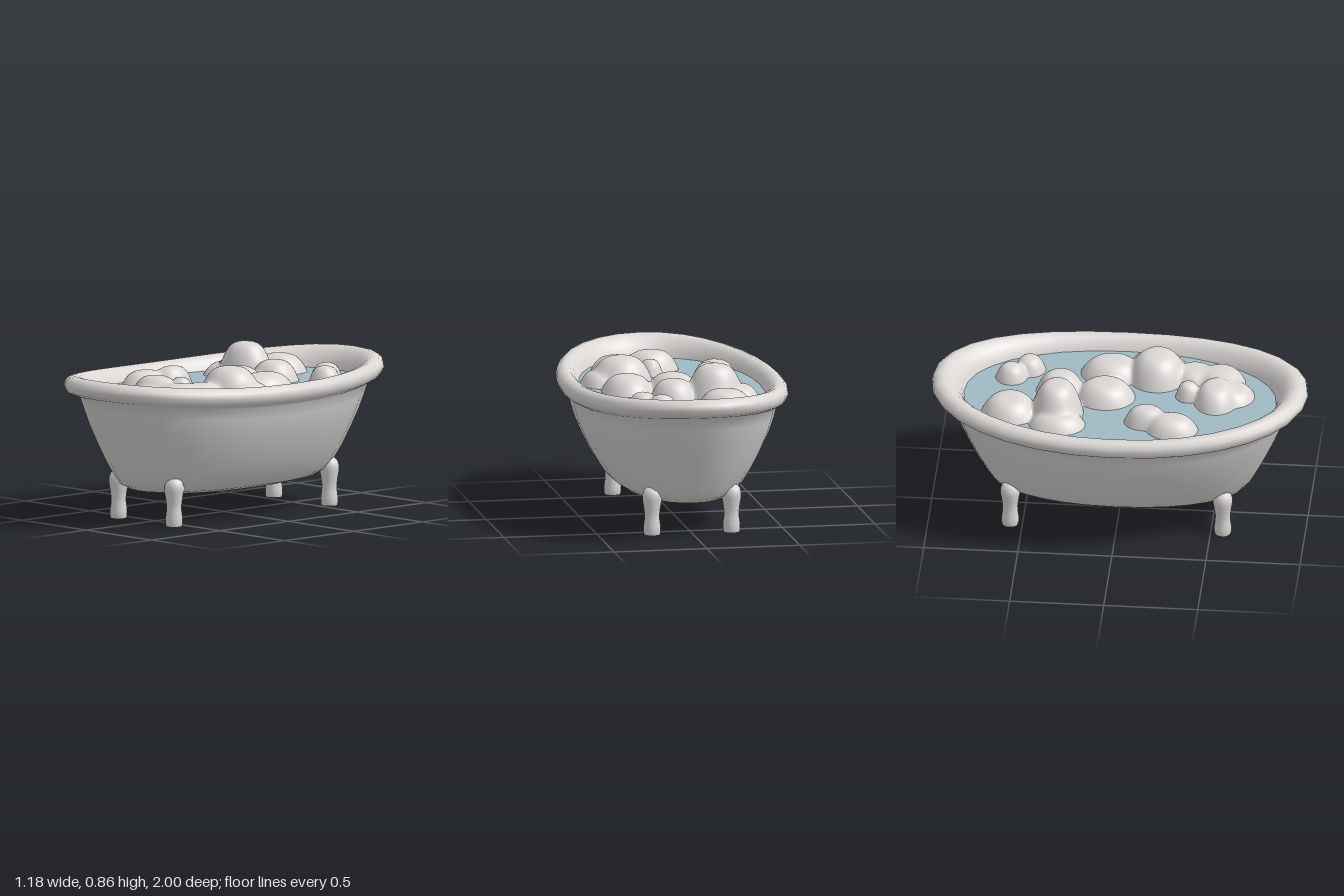
import * as THREE from 'three';

const WATER_Y = 0.675;
const SEGMENTS = 32;

// Rounded oval outline, slightly fuller than an ellipse
const full = (v) => Math.sign(v) * Math.pow(Math.abs(v), 0.93);
const oval = (i) => {
  const a = (i / SEGMENTS) * Math.PI * 2;
  return [full(Math.sin(a)), full(Math.cos(a))];
};

// Skin through oval rings [half width, half length, height]; the ends rise toward the rim
function loftOvals(rings) {
  const pos = [], index = [];
  rings.forEach(([rx, rz, y]) => {
    const rise = 0.05 * THREE.MathUtils.clamp((y - 0.2) / 0.43, 0, 1);
    for (let i = 0; i < SEGMENTS; i++) {
      const [s, c] = oval(i);
      pos.push(rx * s, y + rise * c * c, rz * c);
    }
  });
  for (let j = 0; j < rings.length - 1; j++) {
    for (let i = 0; i < SEGMENTS; i++) {
      const n = (i + 1) % SEGMENTS;
      const a = j * SEGMENTS + i, b = j * SEGMENTS + n;
      index.push(a, b, b + SEGMENTS, a, b + SEGMENTS, a + SEGMENTS);
    }
  }
  const geo = new THREE.BufferGeometry();
  geo.setAttribute('position', new THREE.Float32BufferAttribute(pos, 3));
  geo.setIndex(index);
  geo.computeVertexNormals();
  return geo;
}

// Soft mounds blended into one height surface: [x, z, half width, half length, height]
function foamSurface(mounds) {
  const nx = 80, nz = 120, w = 1.0, l = 1.5, blend = 0.012;
  const pos = [], index = [];
  for (let j = 0; j <= nz; j++) {
    for (let i = 0; i <= nx; i++) {
      const x = (i / nx - 0.5) * w, z = (j / nz - 0.5) * l;
      const hs = mounds.map(([mx, mz, rx, rz, h]) => {
        const d = Math.hypot((x - mx) / rx, (z - mz) / rz);
        return h * (1 - d ** 3.5);
      });
      const top = Math.max(...hs);
      const sum = hs.reduce((t, h) => t + Math.exp((h - top) / blend), 0);
      pos.push(x, WATER_Y + top + blend * Math.log(sum), z);
    }
  }
  // Keep only the cells that reach above the water
  for (let j = 0; j < nz; j++) {
    for (let i = 0; i < nx; i++) {
      const a = j * (nx + 1) + i, b = a + 1, c = a + nx + 1, d = c + 1;
      if ([a, b, c, d].some((v) => pos[v * 3 + 1] > WATER_Y)) {
        index.push(a, c, b, b, c, d);
      }
    }
  }
  // Skirt vertices stay just below the water
  for (let v = 1; v < pos.length; v += 3) pos[v] = Math.max(pos[v], WATER_Y - 0.05);
  const geo = new THREE.BufferGeometry();
  geo.setAttribute('position', new THREE.Float32BufferAttribute(pos, 3));
  geo.setIndex(index);
  geo.computeVertexNormals();
  return geo;
}

export function createModel() {
  const model = new THREE.Group();
  model.name = 'bathtub';
  const white = new THREE.MeshStandardMaterial({ color: 0xdad7d5 });
  white.name = 'white';
  const waterBlue = new THREE.MeshStandardMaterial({ color: 0x9fbac4 });
  waterBlue.name = 'water blue';

  const add = (name, geo, mat) => {
    const mesh = new THREE.Mesh(geo, mat);
    mesh.name = name;
    model.add(mesh);
    return mesh;
  };

  // Bowl: domed floor, flaring wall, rolled rim, inner wall
  add('tub', loftOvals([
    [0, 0, 0.136], [0.12, 0.3, 0.139], [0.22, 0.5, 0.152], [0.285, 0.62, 0.172],
    [0.325, 0.68, 0.2], [0.362, 0.71, 0.24], [0.41, 0.755, 0.315], [0.455, 0.8, 0.4],
    [0.495, 0.845, 0.49], [0.52, 0.88, 0.57], [0.533, 0.905, 0.63],
    [0.555, 0.945, 0.642], [0.58, 0.98, 0.659], [0.592, 1, 0.69], [0.587, 0.994, 0.717],
    [0.568, 0.97, 0.737], [0.543, 0.94, 0.743], [0.517, 0.91, 0.735],
    [0.497, 0.885, 0.715], [0.482, 0.863, 0.69], [0.467, 0.843, 0.66], [0.45, 0.82, 0.6],
  ]), white);

  // Water surface
  const outline = [];
  for (let i = 0; i < SEGMENTS; i++) {
    const [s, c] = oval(i);
    outline.push(new THREE.Vector2(0.475 * s, 0.845 * c));
  }
  const water = add('water', new THREE.ShapeGeometry(new THREE.Shape(outline)), waterBlue);
  water.rotation.x = -Math.PI / 2;
  water.position.y = WATER_Y;

  // Long foam drift and two loose patches
  add('foamDrift', foamSurface([
    [-0.18, -0.57, 0.15, 0.15, 0.095], [-0.29, -0.31, 0.12, 0.15, 0.07],
    [-0.17, -0.32, 0.16, 0.14, 0.185], [0.05, -0.32, 0.13, 0.13, 0.11],
    [0.01, -0.08, 0.14, 0.16, 0.095], [0.25, -0.06, 0.14, 0.17, 0.09],
    [0.24, 0.18, 0.17, 0.16, 0.145], [0.36, 0.17, 0.1, 0.15, 0.07],
    [0.23, 0.38, 0.12, 0.13, 0.075], [0.2, 0.52, 0.14, 0.13, 0.08],
    [0.02, 0.51, 0.15, 0.12, 0.105], [0.05, 0.36, 0.07, 0.07, 0.085],
    [0.07, 0.6, 0.12, 0.11, 0.06],
  ]), white);
  add('foamPatchBack', foamSurface([
    [0.165, -0.59, 0.085, 0.085, 0.08], [0.25, -0.5, 0.085, 0.085, 0.08],
  ]), white);
  add('foamPatchSide', foamSurface([
    [-0.29, 0.3, 0.11, 0.14, 0.08], [-0.23, 0.16, 0.09, 0.12, 0.095],
  ]), white);

  // Four turned feet tucked into the bowl
  const foot = [
    [0.042, 0], [0.046, 0.015], [0.046, 0.045], [0.041, 0.08], [0.04, 0.11],
    [0.045, 0.15], [0.052, 0.19], [0.052, 0.215], [0.044, 0.24], [0.026, 0.256], [0, 0.26],
  ].map(([r, y]) => new THREE.Vector2(r, y));
  const footGeo = new THREE.LatheGeometry(foot, 20);
  const soleGeo = new THREE.CircleGeometry(0.042, 20).rotateX(Math.PI / 2);
  for (const sx of [-1, 1]) {
    for (const sz of [-1, 1]) {
      const leg = new THREE.Group();
      leg.name = (sz > 0 ? 'front' : 'back') + (sx > 0 ? 'Left' : 'Right') + 'Leg';
      const post = new THREE.Mesh(footGeo, white);
      post.name = 'post';
      const sole = new THREE.Mesh(soleGeo, white);
      sole.name = 'sole';
      leg.add(post, sole);
      leg.position.set(sx * 0.214, 0, sz * 0.565);
      model.add(leg);
    }
  }
  return model;
}
